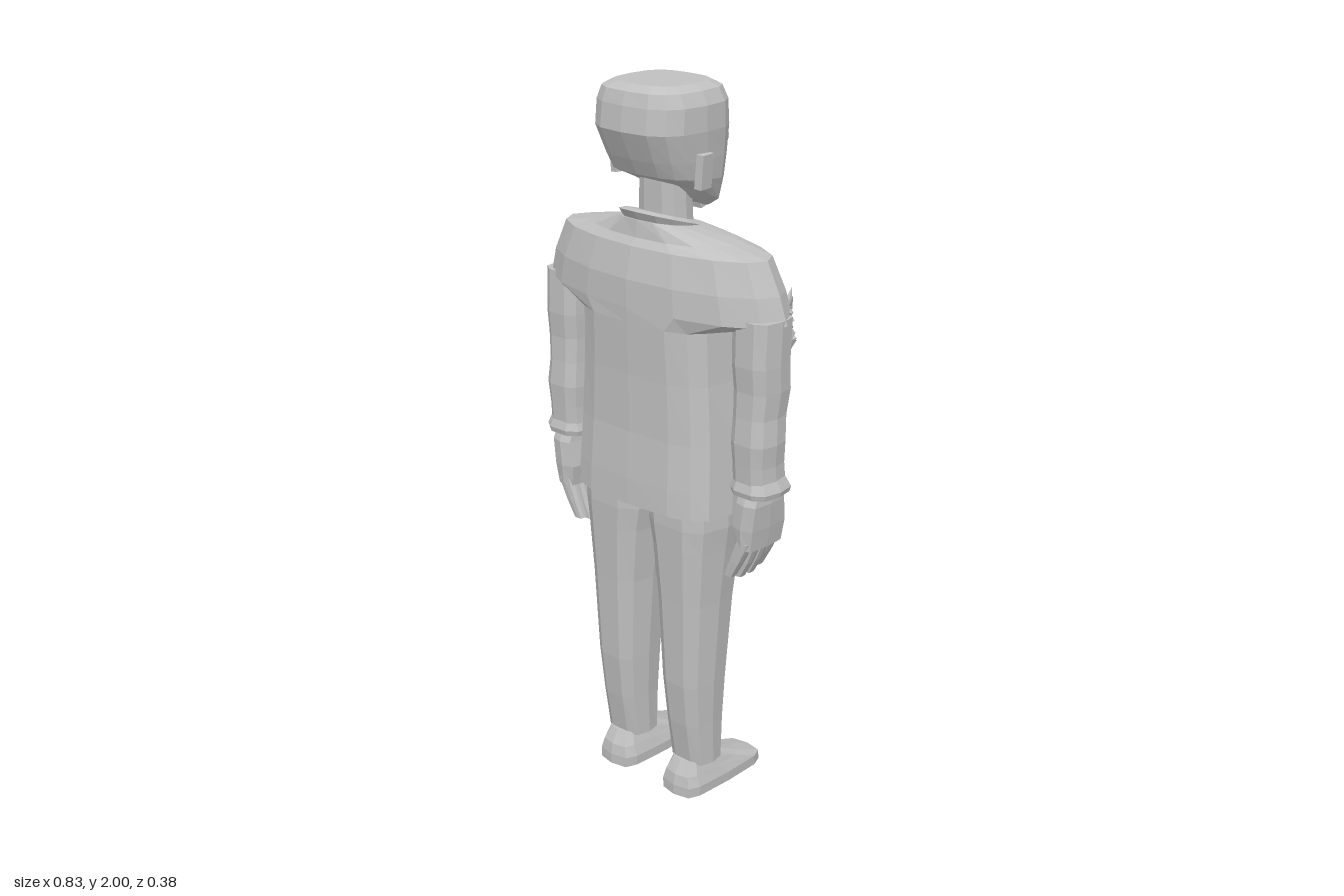
import * as THREE from 'three';

const grey = new THREE.MeshStandardMaterial({ color: 0xc0c0c0 });
grey.name = 'plain grey';

// Faceted normals
function flat(geo) {
  const g = geo.index ? geo.toNonIndexed() : geo;
  g.computeVertexNormals();
  return g;
}

function add(parent, name, geo) {
  const mesh = new THREE.Mesh(flat(geo), grey);
  mesh.name = name;
  parent.add(mesh);
  return mesh;
}

// Closed loft through rounded rings, listed from bottom to top:
// [y, centre x, half width, back z, front z, squareness, tilt]
function loft(rings, n = 12, side = 1) {
  const pos = [], idx = [];
  const pow = (v, p) => (Math.abs(v) < 1e-6 ? 0 : Math.sign(v) * Math.abs(v) ** p);
  for (const [y, cx, w, zb, zf, p = 0.7, tilt = 0] of rings) {
    for (let j = 0; j < n; j++) {
      const t = (j / n) * Math.PI * 2;
      const z = (zb + zf) / 2 + ((zb - zf) / 2) * pow(Math.sin(t), p);
      pos.push(cx * side + w * pow(Math.cos(t), p), y + tilt * z, z);
    }
  }
  for (let i = 0; i < rings.length - 1; i++) {
    for (let j = 0; j < n; j++) {
      const a = i * n + j, b = i * n + (j + 1) % n;
      idx.push(a, a + n, b + n, a, b + n, b);
    }
  }
  // End caps
  for (const [i, top] of [[0, false], [rings.length - 1, true]]) {
    const [y, cx, , zb, zf, , tilt = 0] = rings[i];
    const c = pos.length / 3, zc = (zb + zf) / 2;
    pos.push(cx * side, y + tilt * zc, zc);
    for (let j = 0; j < n; j++) {
      const a = i * n + j, b = i * n + (j + 1) % n;
      if (top) idx.push(c, b, a); else idx.push(c, a, b);
    }
  }
  const g = new THREE.BufferGeometry();
  g.setAttribute('position', new THREE.Float32BufferAttribute(pos, 3));
  g.setIndex(idx);
  return g;
}

function box(parent, name, size, at, rot = [0, 0, 0]) {
  const m = add(parent, name, new THREE.BoxGeometry(...size));
  m.position.set(...at);
  m.rotation.set(...rot);
  return m;
}

function buildJacket(g) {
  add(g, 'jacketBody', loft([
    [0.875, 0, 0.255, 0.18, -0.1, 0.6],
    [0.95, 0, 0.252, 0.178, -0.112, 0.6],
    [1.08, 0, 0.246, 0.17, -0.122, 0.6],
    [1.24, 0, 0.235, 0.17, -0.132, 0.6],
    [1.385, 0, 0.23, 0.175, -0.14, 0.62],
    [1.425, 0, 0.412, 0.176, -0.14, 1],
    [1.5, 0, 0.39, 0.174, -0.13, 1],
    [1.585, 0, 0.35, 0.155, -0.105, 1],
    [1.605, 0, 0.24, 0.14, -0.085, 0.9],
    [1.63, 0, 0.11, 0.135, -0.06, 0.8, 0.15],
  ], 16));
  add(g, 'collar', loft([
    [1.605, 0, 0.098, 0.125, -0.05, 0.8, 0.3],
    [1.63, 0, 0.108, 0.142, -0.052, 0.8, 0.3],
    [1.638, 0, 0.09, 0.125, -0.04, 0.8, 0.3],
  ], 12));
  // Overlapping front flap and the lower pocket
  add(g, 'frontFlap', loft([
    [0.877, 0.05, 0.05, -0.06, -0.106, 0.1],
    [0.95, 0.05, 0.05, -0.06, -0.118, 0.1],
    [1.08, 0.05, 0.05, -0.06, -0.128, 0.1],
    [1.24, 0.05, 0.05, -0.06, -0.138, 0.1],
    [1.4, 0.05, 0.05, -0.06, -0.146, 0.1],
    [1.5, 0.05, 0.05, -0.06, -0.136, 0.1],
    [1.58, 0.05, 0.045, -0.04, -0.109, 0.1],
  ], 8));
  box(g, 'pocket', [0.12, 0.09, 0.009], [-0.075, 0.98, -0.113], [0.09, 0, 0]);
}

function buildArm(g, side) {
  add(g, 'sleeve', loft([
    [0.985, 0.342, 0.06, 0.098, -0.032],
    [1.05, 0.342, 0.059, 0.102, -0.025],
    [1.11, 0.343, 0.064, 0.106, -0.022],
    [1.18, 0.341, 0.06, 0.1, -0.03],
    [1.25, 0.343, 0.064, 0.098, -0.04],
    [1.32, 0.342, 0.066, 0.104, -0.035],
    [1.44, 0.341, 0.068, 0.1, -0.04],
  ], 10, side));
  add(g, 'cuff', loft([
    [0.965, 0.345, 0.066, 0.103, -0.04],
    [0.98, 0.345, 0.07, 0.107, -0.045],
    [1.01, 0.343, 0.058, 0.097, -0.03],
  ], 10, side));
  add(g, 'palm', loft([
    [0.81, 0.335, 0.03, 0.095, -0.045, 0.4],
    [0.87, 0.335, 0.04, 0.1, -0.05, 0.4],
    [0.94, 0.345, 0.038, 0.098, -0.035, 0.4],
    [0.98, 0.345, 0.036, 0.08, -0.02, 0.4],
  ], 8, side));
  for (let i = 0; i < 4; i++) {
    const z = 0.079 - i * 0.036, low = i === 0 || i === 3 ? 0.012 : 0;
    add(g, 'finger', loft([
      [0.708 + low, 0.285, 0.014, z + 0.012, z - 0.012, 0.4],
      [0.755 + low, 0.308, 0.018, z + 0.015, z - 0.015, 0.4],
      [0.83, 0.337, 0.022, z + 0.016, z - 0.016, 0.4],
    ], 8, side));
  }
  add(g, 'thumb', loft([
    [0.815, 0.288, 0.016, -0.066, -0.095, 0.4],
    [0.87, 0.303, 0.022, -0.045, -0.088, 0.4],
    [0.93, 0.33, 0.022, -0.01, -0.045, 0.4],
  ], 8, side));
}

function buildLeg(g, side) {
  add(g, 'trouserLeg', loft([
    [0.09, 0.125, 0.065, 0.09, -0.025],
    [0.22, 0.125, 0.069, 0.112, -0.03],
    [0.35, 0.125, 0.076, 0.127, -0.037],
    [0.6, 0.125, 0.09, 0.137, -0.055],
    [0.76, 0.123, 0.106, 0.146, -0.075],
    [0.83, 0.12, 0.117, 0.15, -0.083],
    [0.92, 0.118, 0.118, 0.15, -0.09],
  ], 10, side));
  add(g, 'shoe', loft([
    [0, 0.124, 0.066, 0.128, -0.195, 0.45],
    [0.03, 0.124, 0.068, 0.128, -0.192, 0.45],
    [0.062, 0.124, 0.058, 0.122, -0.11, 0.5],
    [0.1, 0.125, 0.046, 0.1, -0.025, 0.6],
  ], 12, side));
}

function buildHead(g) {
  add(g, 'neck', loft([
    [1.6, 0, 0.075, 0.075, -0.03],
    [1.77, 0, 0.07, 0.075, -0.02],
  ], 10));
  add(g, 'skull', loft([
    [1.695, 0, 0.075, 0.03, -0.09, 0.8, 0.45],
    [1.715, 0, 0.112, 0.055, -0.102, 0.75, 0.4],
    [1.755, 0, 0.138, 0.132, -0.104, 0.7, 0.1],
    [1.81, 0, 0.147, 0.155, -0.11, 0.7],
    [1.885, 0, 0.156, 0.19, -0.115, 0.7],
    [1.95, 0, 0.155, 0.183, -0.11, 0.7],
    [1.985, 0, 0.138, 0.172, -0.095, 0.65],
    [2.0, 0, 0.11, 0.145, -0.068, 0.65],
  ], 16));
  // Face details
  const nose = add(g, 'nose', new THREE.ConeGeometry(0.03, 0.085, 4));
  nose.position.set(0, 1.785, -0.113);
  nose.rotation.x = -0.15;
  box(g, 'upperLip', [0.07, 0.012, 0.02], [0, 1.717, -0.102]);
  box(g, 'lowerLip', [0.055, 0.012, 0.02], [0, 1.697, -0.1]);
  box(g, 'chin', [0.06, 0.03, 0.03], [0, 1.665, -0.09], [0.3, 0, 0]);
  for (const s of [-1, 1]) {
    box(g, 'brow', [0.075, 0.016, 0.025], [s * 0.055, 1.84, -0.107], [0, s * -0.15, s * 0.12]);
    box(g, 'eye', [0.045, 0.014, 0.008], [s * 0.055, 1.813, -0.109], [0, s * -0.1, 0]);
    box(g, 'ear', [0.022, 0.09, 0.045], [s * 0.15, 1.785, 0.043], [0, s * 0.12, s * -0.08]);
  }
}

// Ragged cloth scraps around the hole in one sleeve
function buildTear(g) {
  const tear = new THREE.Group();
  tear.name = 'tornSleeve';
  tear.position.set(0.36, 1.41, -0.045);
  tear.rotation.y = Math.PI - 0.75;
  const count = 12;
  for (let i = 0; i < count; i++) {
    const a = (i / count) * Math.PI * 2;
    const len = 0.045 + 0.02 * ((i * 7) % 4) / 3;
    const scrap = add(tear, 'clothScrap', new THREE.ConeGeometry(0.014, len, 4));
    scrap.position.set(Math.cos(a) * 0.028, Math.sin(a) * 0.07, 0.004);
    scrap.rotation.set(0.3, 0, a - Math.PI / 2 + ((i % 3) - 1) * 0.35);
  }
  g.add(tear);
}

export function createModel() {
  const model = new THREE.Group();
  model.name = 'standingMan';
  const part = (name, build, ...args) => {
    const g = new THREE.Group();
    g.name = name;
    build(g, ...args);
    model.add(g);
  };
  part('jacket', buildJacket);
  part('head', buildHead);
  for (const side of [-1, 1]) {
    part('arm', buildArm, side);
    part('leg', buildLeg, side);
  }
  part('tear', buildTear);
  return model;
}
